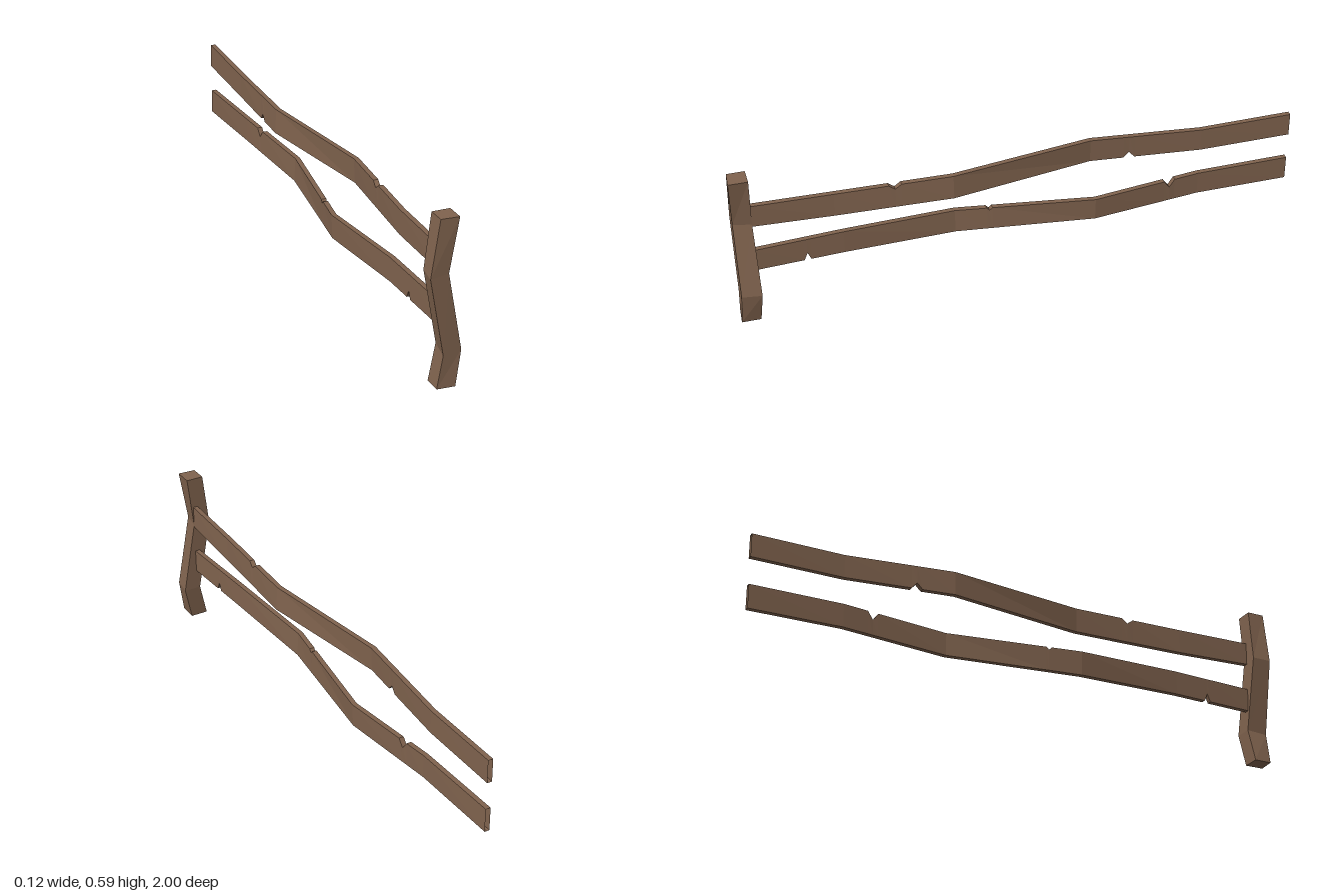
import * as THREE from 'three';

const wood = new THREE.MeshStandardMaterial({ color: 0x80634e, flatShading: true, side: THREE.DoubleSide });

// Skins four-cornered rings along a path; the ends can be capped.
function loft(name, rings, capped) {
  const pos = [];
  const quad = (a, b, c, d) => pos.push(...a, ...b, ...c, ...a, ...c, ...d);
  for (let i = 0; i < rings.length - 1; i++) {
    const r = rings[i], s = rings[i + 1];
    for (let j = 0; j < 4; j++) {
      const k = (j + 1) % 4;
      quad(r[j], r[k], s[k], s[j]);
    }
  }
  if (capped) {
    const [a, b, c, d] = rings[0];
    quad(d, c, b, a);
    quad(...rings[rings.length - 1]);
  }
  const geometry = new THREE.BufferGeometry();
  geometry.setAttribute('position', new THREE.Float32BufferAttribute(pos, 3));
  geometry.computeVertexNormals();
  const mesh = new THREE.Mesh(geometry, wood);
  mesh.name = name;
  return mesh;
}

// Linear interpolation of [z, x, bottom, top] stations, listed from front to back.
function sample(stations, z) {
  let i = 0;
  while (i < stations.length - 2 && stations[i + 1][0] > z) i++;
  const a = stations[i], b = stations[i + 1];
  const t = (z - a[0]) / (b[0] - a[0]);
  return a.map((v, n) => v + (b[n] - v) * t);
}

// A wavy plank with V-shaped nicks: { z, half, depth, top }.
function makeRail(name, stations, nicks, lean) {
  const all = stations.map((s) => [...s]);
  for (const { z, half, depth, top } of nicks) {
    const tip = sample(stations, z);
    if (top) tip[3] -= depth;
    else tip[2] += depth;
    all.push(sample(stations, z + half), tip, sample(stations, z - half));
  }
  all.sort((a, b) => b[0] - a[0]);
  const h = 0.009;
  const rings = all.map(([z, x, bottom, top]) => {
    const xb = x * (1 - lean), xt = x * (1 + lean);
    return [[xb - h, bottom, z], [xt - h, top, z], [xt + h, top, z], [xb + h, bottom, z]];
  });
  return loft(name, rings, false);
}

export function createModel() {
  const group = new THREE.Group();
  group.name = 'brokenFence';

  // Crooked post: [y front, y back, x centre, backward x shift, z back]
  const post = [
    [0, 0, 0, 0, 0.932],
    [0.115, 0.125, 0.02, 0.009, 0.924],
    [0.39, 0.395, -0.031, 0.008, 0.93],
    [0.588, 0.588, -0.001, 0, 0.932],
  ].map(([yf, yb, x, shift, zb]) => [
    [x - 0.032, yf, 0.995], [x + 0.031, yf + 0.01 * Math.sign(shift), 1 - shift * 0.6],
    [x + 0.032 + shift, yb, zb], [x - 0.032 + shift, yb, zb],
  ]);
  group.add(loft('post', post, true));

  // Upper rail
  group.add(makeRail('upperRail', [
    [0.935, 0, 0.386, 0.47], [0.65, 0.009, 0.38, 0.469], [0.24, 0.038, 0.39, 0.479],
    [-0.27, -0.035, 0.39, 0.479], [-0.67, -0.008, 0.379, 0.464], [-1, 0, 0.386, 0.472],
  ], [
    { z: 0.44, half: 0.022, depth: 0.017, top: true },
    { z: -0.41, half: 0.02, depth: 0.022, top: false },
  ], -0.06));

  // Lower rail
  group.add(makeRail('lowerRail', [
    [0.935, 0, 0.199, 0.284], [0.62, -0.009, 0.203, 0.29], [0.22, -0.035, 0.188, 0.276],
    [-0.27, 0.038, 0.191, 0.277], [-0.66, 0.009, 0.204, 0.29], [-1, 0, 0.197, 0.285],
  ], [
    { z: 0.75, half: 0.012, depth: 0.028, top: false },
    { z: 0.1, half: 0.01, depth: 0.01, top: true },
    { z: -0.55, half: 0.02, depth: 0.028, top: true },
  ], 0.06));

  return group;
}
